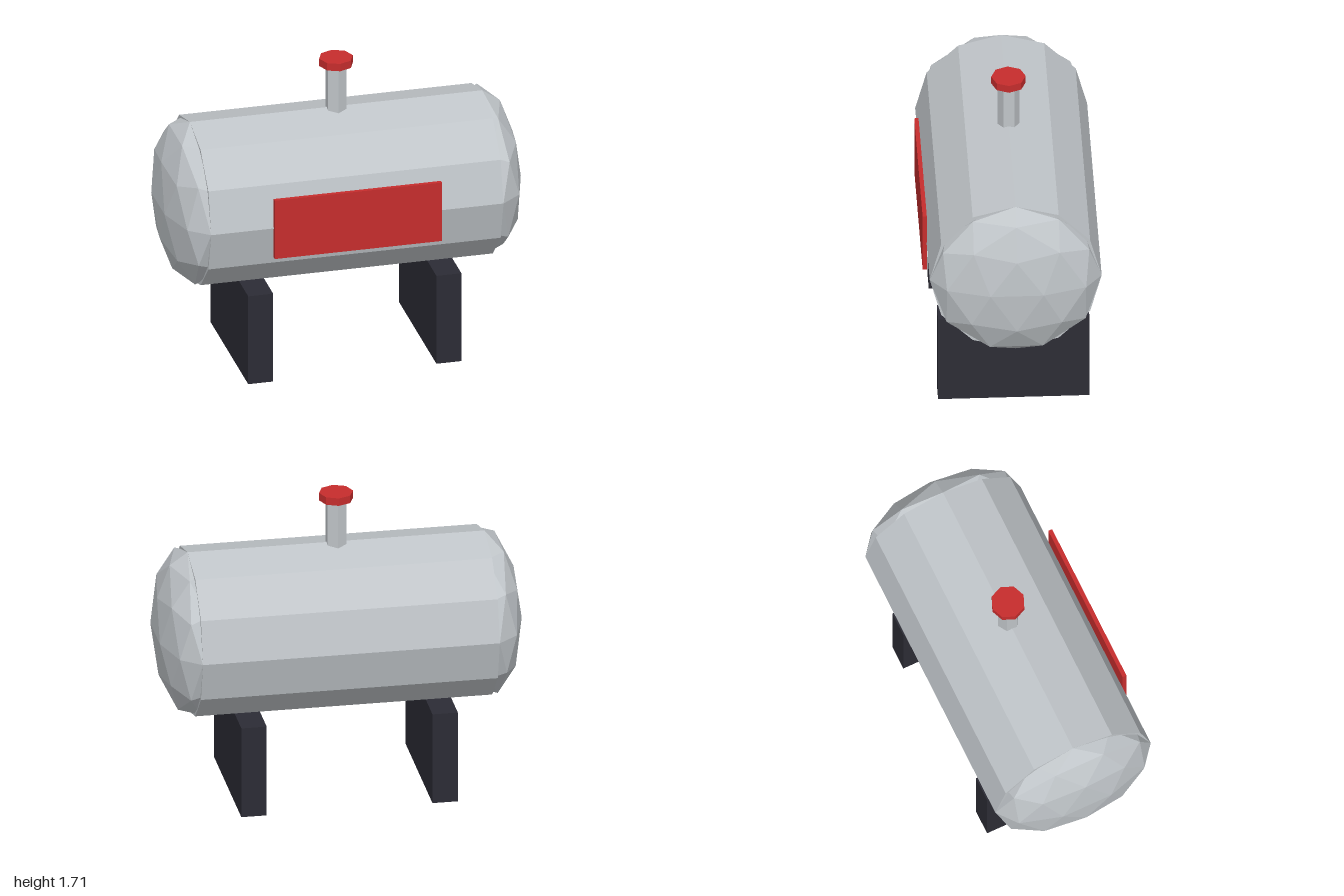
import * as THREE from 'three';

const material = (name, color) => {
  const m = new THREE.MeshStandardMaterial({ color, flatShading: true });
  m.name = name;
  return m;
};

export function createModel() {
  const steel = material('light grey steel', 0xc0c5c9);
  const red = material('red paint', 0xc62d2d);
  const dark = material('dark support', 0x2c2c35);

  const model = new THREE.Group();
  model.name = 'storageTank';
  const add = (name, geometry, mat, x, y, z) => {
    const mesh = new THREE.Mesh(geometry, mat);
    mesh.name = name;
    mesh.position.set(x, y, z);
    model.add(mesh);
  };

  const radius = 0.468, axisY = 0.945, axisZ = -0.011, halfLength = 0.82;

  // Twelve-sided tank lying along x
  const body = new THREE.CylinderGeometry(radius, radius, halfLength * 2, 12).rotateZ(Math.PI / 2);
  add('tankBody', body, steel, 0, axisY, axisZ);

  // Flattened faceted domes, turned so one corner points straight up
  const dome = new THREE.IcosahedronGeometry(1, 1)
    .rotateX(-Math.atan2(1 + Math.sqrt(5), 2))
    .rotateY(Math.PI / 2)
    .scale(0.189, radius, radius);
  dome.computeVertexNormals();

  // Domes and saddle legs on both sides
  for (const [side, s] of [['left', 1], ['right', -1]]) {
    add(side + 'Dome', dome, steel, s * halfLength, axisY, axisZ);
    add(side + 'Leg', new THREE.BoxGeometry(0.14, 0.527, 0.823), dark, s * 0.528, 0.2635, axisZ);
  }

  // Vent pipe with its cap
  add('ventPipe', new THREE.CylinderGeometry(0.06, 0.06, 0.38, 6), steel, 0, 1.49, axisZ);
  add('ventCap', new THREE.CylinderGeometry(0.094, 0.094, 0.044, 8), red, 0, 1.686, axisZ);

  // Sign board on the front
  add('signBoard', new THREE.BoxGeometry(0.938, 0.35, 0.023), red, 0, 0.946, 0.467);

  return model;
}
